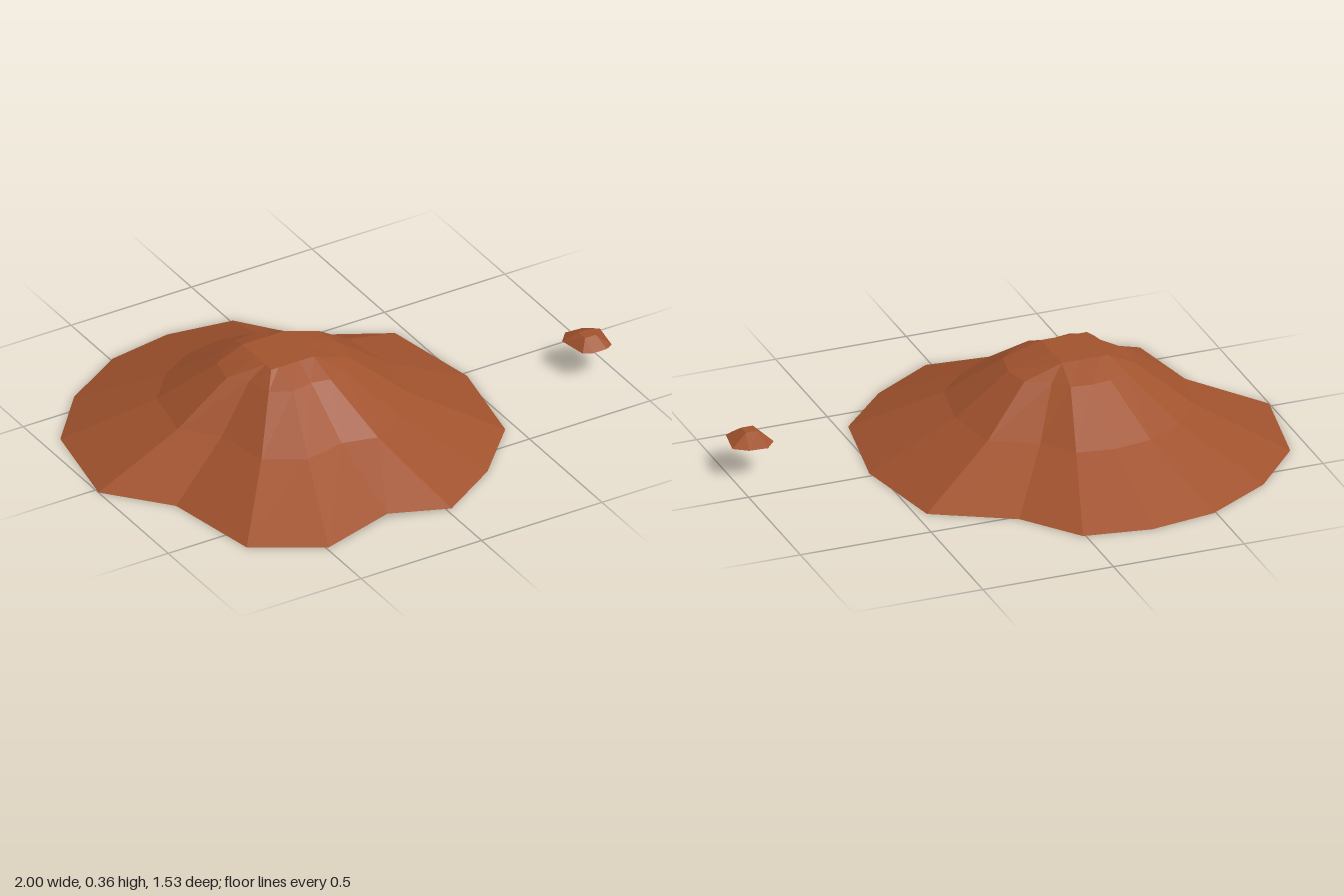
import * as THREE from 'three';

// Faceted closed solid from stacked rings, listed clockwise as seen from above
function loft(rings, material, name) {
  const pos = [];
  const n = rings[0].length;
  const tri = (a, b, c) => pos.push(...a, ...b, ...c);
  const centre = (ring) => {
    const xs = ring.map((p) => p[0]), zs = ring.map((p) => p[2]);
    const mid = (v) => (Math.min(...v) + Math.max(...v)) / 2;
    return [mid(xs), Math.max(0, Math.min(...ring.map((p) => p[1]))), mid(zs)];
  };
  const low = rings[0], top = rings[rings.length - 1];
  const cl = centre(low), ct = centre(top);
  for (let i = 0; i < n; i++) {
    const j = (i + 1) % n;
    for (let k = 0; k < rings.length - 1; k++) {
      const a = rings[k][i], b = rings[k][j], c = rings[k + 1][j], d = rings[k + 1][i];
      tri(b, a, d);
      tri(b, d, c);
    }
    tri(cl, low[i], low[j]);
    tri(ct, top[j], top[i]);
  }
  const geo = new THREE.BufferGeometry();
  geo.setAttribute('position', new THREE.Float32BufferAttribute(pos, 3));
  geo.computeVertexNormals();
  const mesh = new THREE.Mesh(geo, material);
  mesh.name = name;
  return mesh;
}

// Ring that collapses an outline onto a small rectangular summit
const summit = (ring, y, [x0, x1], [z0, z1]) => ring.map(([x, , z]) => [
  THREE.MathUtils.clamp(x, x0, x1), y, THREE.MathUtils.clamp(z, z0, z1)]);

export function createModel() {
  const group = new THREE.Group();
  group.name = 'dirtMound';
  const earth = new THREE.MeshStandardMaterial({ color: 0xa0522d, flatShading: true });
  earth.name = 'brown earth';

  // Mound: notched foot, shrinking towards a squared summit
  const foot = [
    [-1, 0.02], [-0.93, -0.36], [-0.74, -0.58], [-0.49, -0.73],
    [-0.24, -0.77], [0.01, -0.73], [0.17, -0.52], [0.46, -0.36],
    [0.53, 0.02], [0.46, 0.40], [0.26, 0.61], [0.02, 0.76],
    [-0.21, 0.70], [-0.49, 0.76], [-0.74, 0.61], [-0.81, 0.24],
  ];
  const cx = -0.235, cz = 0.02;
  const scaled = (sx, sz, y) => foot.map(([x, z]) => [cx + (x - cx) * sx, y, cz + (z - cz) * sz]);
  const base = scaled(1, 1, 0);
  base[12][1] = 0.02; // lifted lip of the front notch
  const shoulder = scaled(0.305, 0.27, 0.31);
  const cap = summit(shoulder, 0.357, [-0.343, -0.167], [-0.08, 0.12]);
  group.add(loft([base, scaled(0.57, 0.56, 0.16), shoulder, cap], earth, 'mound'));

  // Loose clod floating beside the mound
  const clod = [
    [0.84, 0.16], [0.88, 0.115], [0.95, 0.12], [1.0, 0.155],
    [0.98, 0.27], [0.95, 0.287], [0.89, 0.287], [0.86, 0.27],
  ].map(([x, z]) => [x, 0.12, z]);
  group.add(loft([clod, summit(clod, 0.157, [0.89, 0.935], [0.19, 0.235])], earth, 'looseClod'));
  return group;
}
